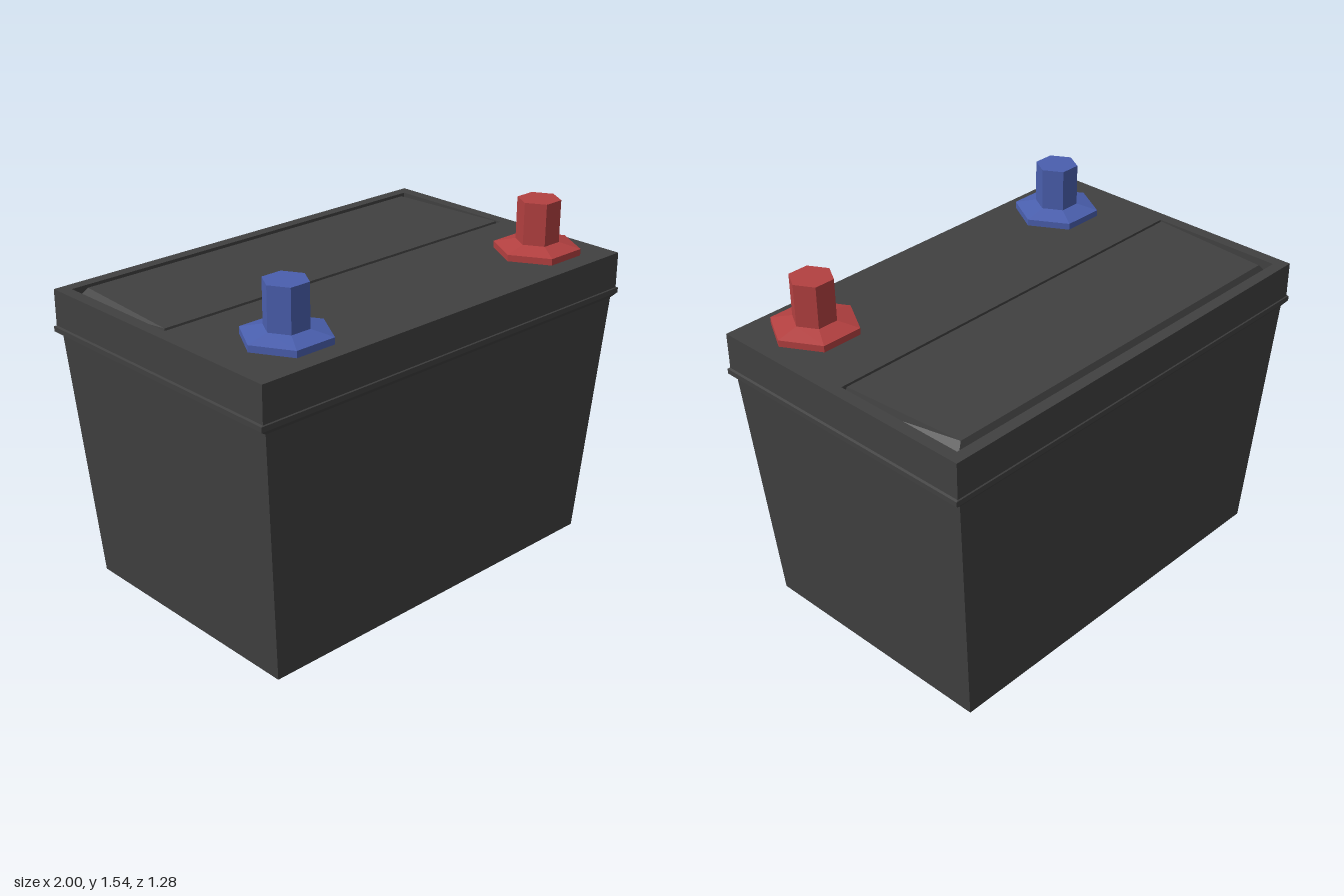
import * as THREE from 'three';

const material = (color) => new THREE.MeshStandardMaterial({ color, flatShading: true });

// Skins four-cornered sections [y, halfX at back, halfX at front, zBack, zFront]
function loft(sections, { bottom = false, top = false } = {}) {
  const rings = sections.map(([y, xb, xf, zb, zf]) =>
    [[-xf, y, zf], [xf, y, zf], [xb, y, zb], [-xb, y, zb]]);
  const positions = [];
  const quad = (a, b, c, d) => positions.push(...a, ...b, ...c, ...a, ...c, ...d);
  for (let i = 0; i + 1 < rings.length; i++) {
    const low = rings[i], high = rings[i + 1];
    for (let k = 0; k < 4; k++) {
      const n = (k + 1) % 4;
      quad(low[k], low[n], high[n], high[k]);
    }
  }
  if (bottom) quad(...[...rings[0]].reverse());
  if (top) quad(...rings[rings.length - 1]);
  const geometry = new THREE.BufferGeometry();
  geometry.setAttribute('position', new THREE.Float32BufferAttribute(positions, 3));
  geometry.computeVertexNormals();
  return geometry;
}

const box = (y, x, z) => [y, x, x, -z, z];

// Hexagonal bolt terminal with a sloped flange
function terminal(name, color, x) {
  const profile = [[0, 1.295], [0.055, 1.295], [0.055, 1.308], [0.185, 1.308],
    [0.185, 1.336], [0.092, 1.358], [0.092, 1.54], [0, 1.54]]
    .map(([r, y]) => new THREE.Vector2(r, y));
  const mesh = new THREE.Mesh(new THREE.LatheGeometry(profile, 6), material(color));
  mesh.name = name;
  mesh.rotation.y = Math.PI / 6;
  mesh.position.set(x, 0, 0.4);
  return mesh;
}

export function createModel() {
  const group = new THREE.Group();
  group.name = 'battery';
  const dark = material(0x404040);
  const add = (name, geometry) => {
    const mesh = new THREE.Mesh(geometry, dark);
    mesh.name = name;
    group.add(mesh);
  };

  // Tapered case
  add('case', loft([box(0, 0.885, 0.565), box(1.1, 0.97, 0.625)], { bottom: true }));

  // Lid with a lip round its lower edge and an opening in the rear half
  add('lid', loft([
    box(1.1, 0.97, 0.625), box(1.12, 1, 0.64), box(1.142, 1, 0.64),
    box(1.145, 0.99, 0.635), box(1.3, 0.99, 0.635),
    [1.3, 0.938, 0.938, -0.585, 0.018],
    [1.24, 0.938, 0.938, -0.585, 0.018],
  ]));

  // Bevelled cover panel sitting in the opening
  add('coverPanel', loft([
    [1.24, 0.938, 0.938, -0.585, 0.018],
    [1.302, 0.885, 0.925, -0.55, 0.003],
  ], { top: true }));

  group.add(terminal('negativeTerminal', 0x4a5fae, -0.67));
  group.add(terminal('positiveTerminal', 0xb34040, 0.735));
  return group;
}
